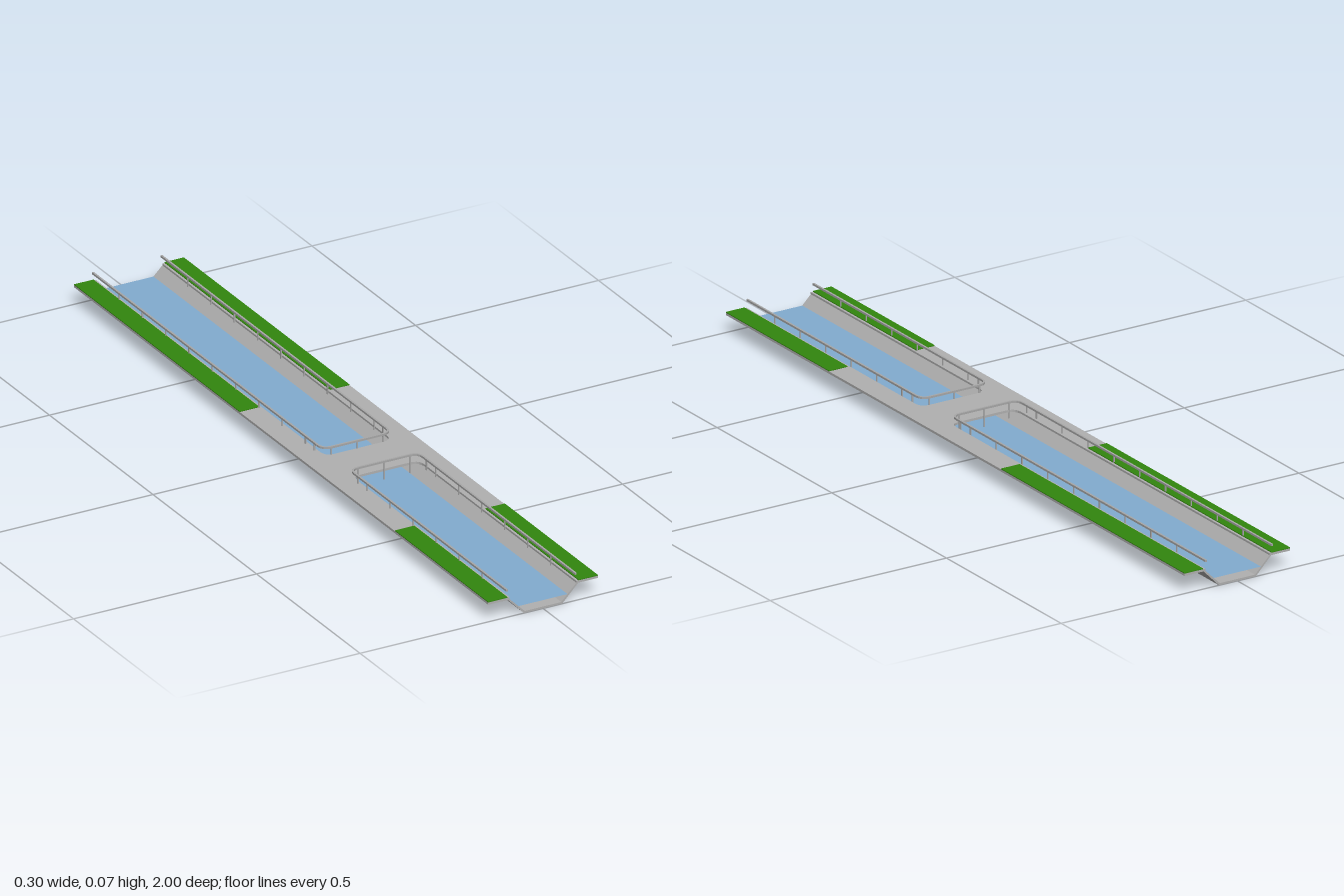
import * as THREE from 'three';

const material = (name, color, side = THREE.FrontSide) => {
  const m = new THREE.MeshStandardMaterial({ color, side });
  m.name = name;
  return m;
};

export function createModel() {
  const concrete = material('concrete', 0xb0b0b0);
  const metal = material('railing metal', 0xa8a8a8);
  const grass = material('grass', 0x32860e);
  const waterBlue = material('water blue', 0x82acd0, THREE.DoubleSide);

  const model = new THREE.Group();
  model.name = 'canal';

  const add = (parent, name, geometry, mat, x = 0, y = 0, z = 0) => {
    const mesh = new THREE.Mesh(geometry, mat);
    mesh.name = name;
    mesh.position.set(x, y, z);
    parent.add(mesh);
    return mesh;
  };

  // Trapezoid trough, open at both ends
  const trough = new THREE.Shape([
    [-0.097, 0.046], [-0.052, 0], [0.052, 0], [0.097, 0.046],
    [0.091, 0.046], [0.05, 0.005], [-0.05, 0.005], [-0.091, 0.046],
  ].map(([x, y]) => new THREE.Vector2(x, y)));
  add(model, 'channel', new THREE.ExtrudeGeometry(trough, { depth: 2, bevelEnabled: false }), concrete, 0, 0, -1);

  // Banks and crossing in one slab, with a rounded notch for each basin
  const frontEnd = 0.24, backEnd = 0.11, cut = 0.091, r = 0.025;
  const slab = new THREE.Shape();
  slab.moveTo(-0.15, -1);
  slab.lineTo(-cut, -1);
  slab.lineTo(-cut, backEnd - r);
  slab.quadraticCurveTo(-cut, backEnd, -cut + r, backEnd);
  slab.lineTo(cut - r, backEnd);
  slab.quadraticCurveTo(cut, backEnd, cut, backEnd - r);
  slab.lineTo(cut, -1);
  slab.lineTo(0.15, -1);
  slab.lineTo(0.15, 1);
  slab.lineTo(cut, 1);
  slab.lineTo(cut, frontEnd + r);
  slab.quadraticCurveTo(cut, frontEnd, cut - r, frontEnd);
  slab.lineTo(-cut + r, frontEnd);
  slab.quadraticCurveTo(-cut, frontEnd, -cut, frontEnd + r);
  slab.lineTo(-cut, 1);
  slab.lineTo(-0.15, 1);
  const slabGeometry = new THREE.ExtrudeGeometry(slab, { depth: 0.006, bevelEnabled: false, curveSegments: 5 });
  slabGeometry.rotateX(Math.PI / 2);
  add(model, 'banksAndCrossing', slabGeometry, concrete, 0, 0.051, 0);

  // Water surface
  const water = new THREE.PlaneGeometry(0.136, 2);
  water.rotateX(-Math.PI / 2);
  add(model, 'water', water, waterBlue, 0, 0.022, 0);

  // Grass strips on the four bank ends
  for (const side of [-1, 1]) {
    add(model, 'backGrass', new THREE.BoxGeometry(0.053, 0.002, 0.8), grass, side * 0.1235, 0.052, -0.6);
    add(model, 'frontGrass', new THREE.BoxGeometry(0.053, 0.002, 0.45), grass, side * 0.1235, 0.052, 0.775);
  }

  // U-shaped railing: dir is the direction in z from the crossing to the open end
  const left = -0.0985, right = 0.089;
  const addRailing = (name, end, dir, sidePosts) => {
    const railing = new THREE.Group();
    railing.name = name;
    const corner = (x, inward) => new THREE.QuadraticBezierCurve(
      new THREE.Vector2(x, end + dir * r), new THREE.Vector2(x, end),
      new THREE.Vector2(x + inward * r, end)).getPoints(4);
    const path = [
      new THREE.Vector2(left, dir), ...corner(left, 1),
      ...corner(right, -1).reverse(), new THREE.Vector2(right, dir),
    ];
    for (let i = 1; i < path.length; i++) {
      const a = path[i - 1], b = path[i];
      const rail = add(railing, 'handrail', new THREE.BoxGeometry(0.005, 0.005, a.distanceTo(b) + 0.001),
        metal, (a.x + b.x) / 2, 0.0705, (a.y + b.y) / 2);
      rail.rotation.y = Math.atan2(b.x - a.x, b.y - a.y);
    }
    const post = new THREE.BoxGeometry(0.003, 0.046, 0.003);
    for (const z of sidePosts) for (const x of [left, right]) add(railing, 'post', post, metal, x, 0.046, z);
    for (const x of [-0.075, -0.004, 0.067]) add(railing, 'endPost', post, metal, x, 0.046, end);
    model.add(railing);
  };
  const row = (start, step, count) => Array.from({ length: count }, (_, i) => start + i * step);
  addRailing('frontRailing', frontEnd, 1, [0.28, ...row(0.325, 0.111, 6)]);
  addRailing('backRailing', backEnd, -1, [0.07, ...row(0.027, -0.1125, 9)]);

  return model;
}
